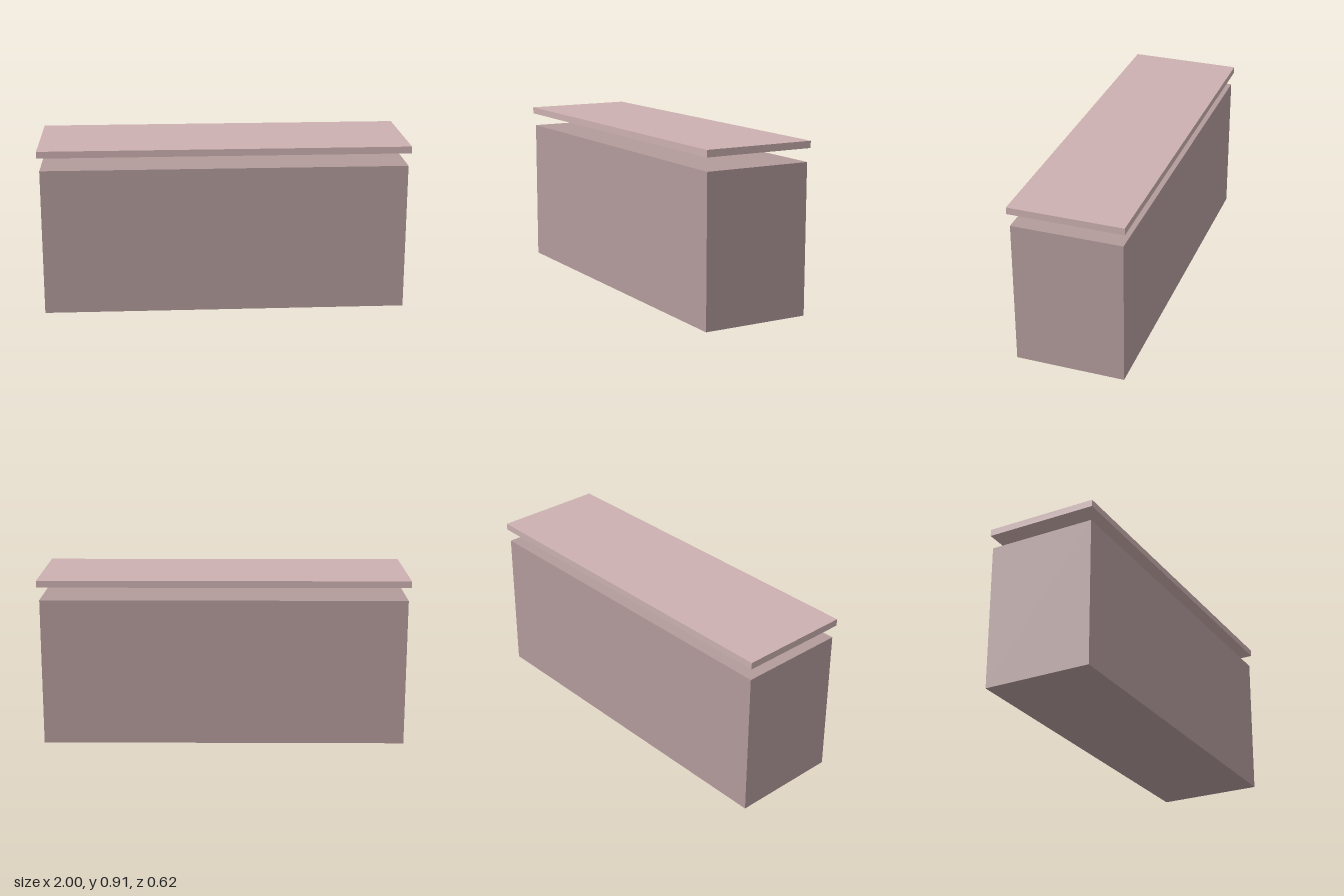
import * as THREE from 'three';

// Box with its underside at height y0 and its top at y1
function slab(name, width, depth, y0, y1, color) {
  const mesh = new THREE.Mesh(
    new THREE.BoxGeometry(width, y1 - y0, depth),
    new THREE.MeshStandardMaterial({ color })
  );
  mesh.name = name;
  mesh.position.y = (y0 + y1) / 2;
  return mesh;
}

export function createModel() {
  const model = new THREE.Group();
  model.name = 'box with raised lid';

  // Solid main block
  model.add(slab('body', 1.976, 0.594, 0, 0.803, 0xb39b9b));

  // Thin lid floating above, slightly overhanging on every side
  model.add(slab('lid', 2, 0.616, 0.875, 0.912, 0xccb0b0));

  return model;
}
